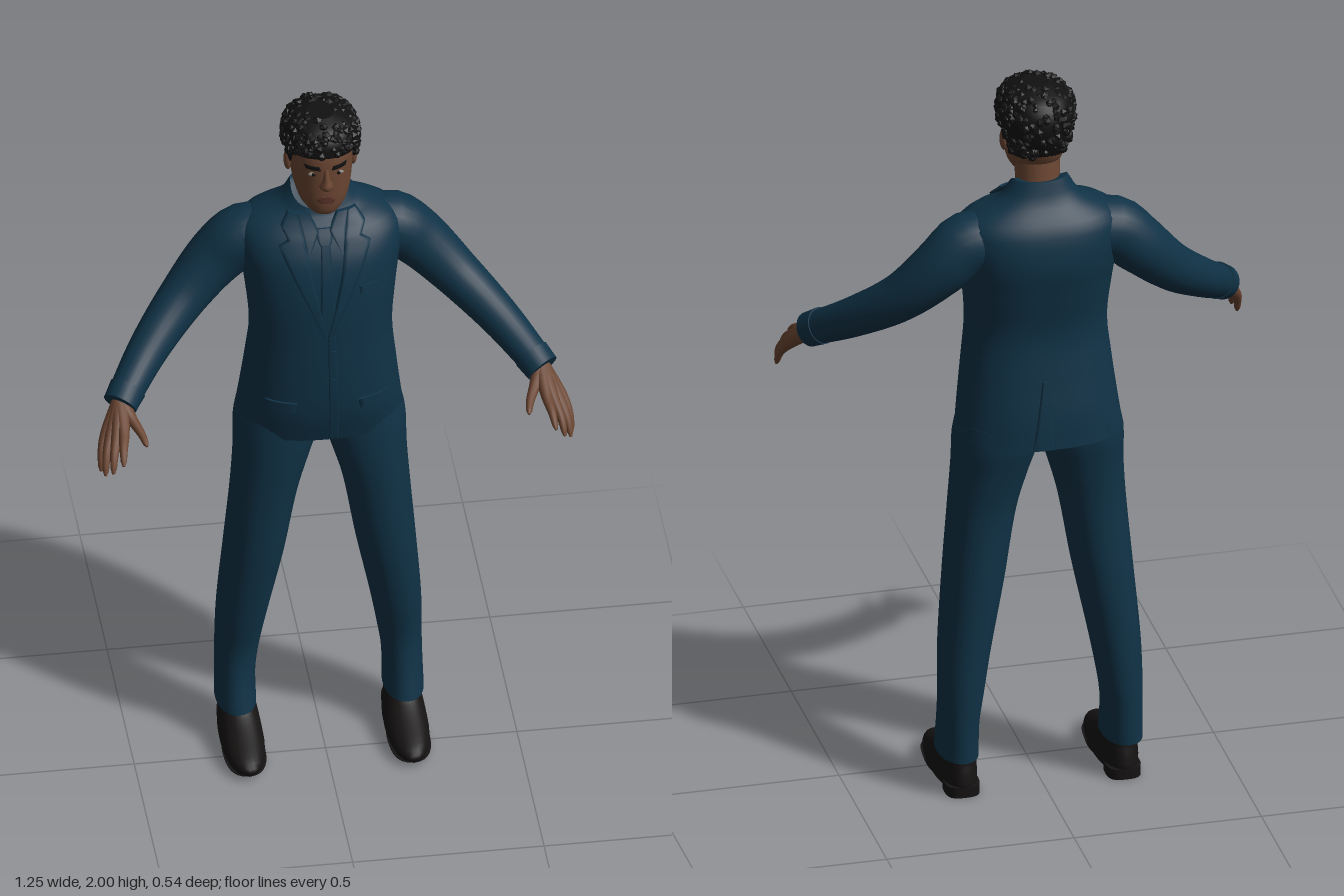
import * as THREE from 'three';
import { mergeGeometries } from 'three/addons/utils/BufferGeometryUtils.js';

const mat = (name, color, side = THREE.FrontSide) => {
  const m = new THREE.MeshStandardMaterial({ color, side });
  m.name = name;
  return m;
};

// smooth lookup in a table whose rows start with their height
function at(table, y) {
  const n = table.length;
  let i = 0;
  while (i < n - 2 && y > table[i + 1][0]) i++;
  const a = table[i], b = table[i + 1], h = b[0] - a[0];
  const t = THREE.MathUtils.clamp((y - a[0]) / h, 0, 1);
  const slope = (k, c) => {
    const p = table[Math.max(k - 1, 0)], q = table[Math.min(k + 1, n - 1)];
    return (q[c] - p[c]) / (q[0] - p[0]);
  };
  return a.map((v, c) => c === 0 ? y :
    v * (2 * t ** 3 - 3 * t * t + 1) + b[c] * (3 * t * t - 2 * t ** 3) +
    h * (slope(i, c) * (t ** 3 - 2 * t * t + t) + slope(i + 1, c) * (t ** 3 - t * t)));
}

// closed skin over a stack of point loops, with flat ends
function skin(rings) {
  const n = rings[0].length, pos = [], idx = [];
  rings.forEach(r => r.forEach(p => pos.push(...p)));
  for (let i = 0; i < rings.length - 1; i++) for (let j = 0; j < n; j++) {
    const a = i * n + j, b = i * n + (j + 1) % n;
    idx.push(a, a + n, b, b, a + n, b + n);
  }
  [rings[0], rings[rings.length - 1]].forEach((r, end) => {
    const base = pos.length / 3;
    r.forEach(p => pos.push(...p));
    pos.push(...[0, 1, 2].map(k => r.reduce((s, p) => s + p[k], 0) / n));
    for (let j = 0; j < n; j++) {
      const a = base + j, b = base + (j + 1) % n;
      end ? idx.push(base + n, b, a) : idx.push(base + n, a, b);
    }
  });
  const g = new THREE.BufferGeometry();
  g.setAttribute('position', new THREE.Float32BufferAttribute(pos, 3));
  g.setIndex(idx);
  g.computeVertexNormals();
  return g;
}

// point on a section [y, xCentre, halfWidth, zFront, zBack]
const spread = (v, p) => Math.sign(v) * Math.abs(v) ** (2 / p);
const onSection = ([y, xc, hw, zf, zb], a, p) =>
  [xc + hw * spread(Math.cos(a), p), y, (zf + zb) / 2 + (zf - zb) / 2 * spread(Math.sin(a), p)];

function loft(table, rows, cols, p = 2, tweak = v => v) {
  const y0 = table[0][0], y1 = table[table.length - 1][0];
  return skin(Array.from({ length: rows + 1 }, (_, i) => {
    const s = at(table, y0 + (y1 - y0) * i / rows);
    return Array.from({ length: cols }, (_, j) => tweak(onSection(s, j / cols * Math.PI * 2, p)));
  }));
}

// tapered tube through points [x, y, z, radius]
function limb(pts, rows, cols, round = false) {
  const curve = new THREE.CatmullRomCurve3(pts.map(p => new THREE.Vector3(p[0], p[1], p[2])));
  const f = curve.computeFrenetFrames(rows, false);
  return skin(Array.from({ length: rows + 1 }, (_, i) => {
    const t = curve.getUtoTmapping(i / rows) * (pts.length - 1);
    const k = Math.min(Math.floor(t), pts.length - 2), c = curve.getPointAt(i / rows);
    const r = THREE.MathUtils.lerp(pts[k][3], pts[k + 1][3], t - k) * (round && i === rows ? 0.5 : 1);
    return Array.from({ length: cols }, (_, j) => {
      const a = j / cols * Math.PI * 2;
      return c.clone().addScaledVector(f.normals[i], r * Math.cos(a))
        .addScaledVector(f.binormals[i], -r * Math.sin(a)).toArray();
    });
  }));
}

// thin plate lying on a lofted body; rows are [y, xFrom, xTo], side 1 front, -1 back
function panel(table, p, rows, lift, side = 1) {
  const surf = (x, y) => {
    const [, xc, hw, zf, zb] = at(table, y);
    const u = Math.min(Math.abs((x - xc) / hw), 0.98);
    return (zf + zb) / 2 + side * (zf - zb) / 2 * (1 - u ** p) ** (1 / p);
  };
  const rings = [];
  rows.forEach((r, k) => {
    const q = rows[k + 1], steps = q ? 4 : 1;
    for (let s = 0; s < steps; s++) {
      const [y, a, b] = q ? r.map((v, c) => v + (q[c] - v) * s / steps) : r;
      const line = d => Array.from({ length: 7 }, (_, j) => {
        const x = b + (a - b) * j / 6;
        return [x, y, surf(x, y) + side * d];
      });
      const top = line(lift), under = line(-0.004);
      rings.push(side > 0 ? [...top, ...under.reverse()] : [...top.reverse(), ...under]);
    }
  });
  return skin(rings);
}

function mirrored(g) {
  const m = g.clone().scale(-1, 1, 1), id = m.index.array;
  for (let i = 0; i < id.length; i += 3) [id[i], id[i + 1]] = [id[i + 1], id[i]];
  m.computeVertexNormals();
  return m;
}

export function createModel() {
  const suit = mat('navy suit', 0x103246), skinTone = mat('brown skin', 0x6b4632);
  const hairMat = mat('black hair', 0x121111, THREE.DoubleSide), leather = mat('black leather', 0x161313);
  const lipMat = mat('lips', 0x5a342a), white = mat('eye white', 0x8c8079);
  const model = new THREE.Group();
  const add = (name, g, m) => {
    const mesh = new THREE.Mesh(g, m);
    mesh.name = name;
    model.add(mesh);
  };
  const pair = (name, g, m) => {
    add(name + 'Left', g, m);
    add(name + 'Right', mirrored(g), m);
  };
  const ball = (x, y, z, sx, sy, sz) => new THREE.SphereGeometry(1, 16, 12).scale(sx, sy, sz).translate(x, y, z);

  // jacket body, with the neckline dropping at the front
  const torso = [
    [1.01, 0, 0.22, 0.02, -0.27], [1.1, 0, 0.208, 0.042, -0.265], [1.2, 0, 0.196, 0.048, -0.25],
    [1.32, 0, 0.185, 0.048, -0.237], [1.44, 0, 0.195, 0.045, -0.255], [1.52, 0, 0.206, 0.035, -0.268],
    [1.58, 0, 0.215, 0.018, -0.265], [1.63, 0, 0.208, -0.012, -0.25], [1.66, 0, 0.17, -0.036, -0.228],
    [1.69, 0, 0.11, -0.053, -0.205], [1.745, 0, 0.074, -0.066, -0.185]];
  add('jacket', loft(torso, 44, 48, 2.4, ([x, y, z]) => {
    const front = THREE.MathUtils.clamp((z + 0.14) / 0.07, 0, 1);
    return [x, y - Math.max(0, y - 1.66) * 0.6 * front, z];
  }), suit);
  pair('lapel', panel(torso, 2.4, [[1.36, 0, 0.008], [1.45, 0.02, 0.045], [1.55, 0.04, 0.09], [1.62, 0.05, 0.12],
    [1.635, 0.052, 0.095], [1.66, 0.058, 0.11], [1.69, 0.066, 0.088]], 0.008), suit);
  pair('shirtCollar', panel(torso, 2.4, [[1.605, 0.04, 0.046], [1.65, 0.014, 0.058], [1.69, 0.036, 0.068]], 0.006), suit);
  add('tie', panel(torso, 2.4, [[1.37, -0.004, 0.004], [1.42, -0.02, 0.02], [1.62, -0.012, 0.012],
    [1.627, -0.018, 0.018], [1.655, -0.022, 0.022]], 0.005), suit);
  pair('pocketFlap', panel(torso, 2.4, [[1.12, 0.085, 0.16], [1.15, 0.08, 0.158]], 0.007), suit);
  add('breastPocket', panel(torso, 2.4, [[1.485, 0.085, 0.14], [1.505, 0.085, 0.142]], 0.005), suit);
  add('frontOverlap', panel(torso, 2.4, [[1.02, 0.005, 0.03], [1.36, 0, 0.02]], 0.003), suit);
  add('backVent', panel(torso, 2.4, [[1.012, -0.004, 0.05], [1.2, 0, 0.02]], 0.005, -1), suit);
  [1.31, 1.22].forEach((y, i) =>
    add('button' + (i + 1), new THREE.CylinderGeometry(0.008, 0.008, 0.008, 12).rotateX(Math.PI / 2)
      .translate(0.012, y, 0.052), suit));

  // sleeves and cuffs
  pair('sleeve', limb([[0.13, 1.575, -0.142, 0.08], [0.195, 1.572, -0.144, 0.083], [0.262, 1.515, -0.144, 0.077],
    [0.355, 1.422, -0.105, 0.064], [0.46, 1.33, -0.012, 0.053], [0.55, 1.248, 0.103, 0.043]], 30, 24), suit);
  pair('cuff', limb([[0.527, 1.27, 0.073, 0.049], [0.552, 1.246, 0.106, 0.046]], 2, 24), suit);

  // hands: each finger runs from the wrist so the roots merge into a palm
  const wrist = [0.55, 1.248, 0.1];
  const fingers = {
    indexFinger: [[0.553, 1.208, 0.185], [0.56, 1.192, 0.23], [0.565, 1.165, 0.268]],
    middleFinger: [[0.572, 1.198, 0.186], [0.584, 1.17, 0.226], [0.59, 1.133, 0.256]],
    ringFinger: [[0.588, 1.188, 0.174], [0.602, 1.155, 0.21], [0.608, 1.115, 0.236]],
    littleFinger: [[0.599, 1.182, 0.158], [0.611, 1.148, 0.185], [0.615, 1.108, 0.205]],
    thumb: [[0.525, 1.222, 0.15], [0.508, 1.207, 0.19], [0.499, 1.195, 0.23]]
  };
  for (const [name, [a, b, c]] of Object.entries(fingers))
    pair(name, limb([[...wrist, 0.024], [...a, 0.0145], [...b, 0.011], [...c, 0.007]], 14, 12, true), skinTone);

  // trousers
  pair('trouserLeg', loft([
    [0.105, 0.219, 0.053, -0.028, -0.222], [0.2, 0.218, 0.052, -0.05, -0.225], [0.28, 0.212, 0.057, -0.056, -0.227],
    [0.4, 0.2, 0.066, -0.035, -0.225], [0.6, 0.172, 0.078, -0.008, -0.221], [0.8, 0.146, 0.087, 0.003, -0.216],
    [0.92, 0.125, 0.1, 0.008, -0.23], [1, 0.112, 0.112, 0.008, -0.245], [1.06, 0.106, 0.106, 0.005, -0.245]], 36, 32, 2.2), suit);

  // shoes
  pair('shoeUpper', loft([
    [0.016, 0.215, 0.054, 0.118, -0.205], [0.035, 0.215, 0.057, 0.126, -0.21], [0.052, 0.215, 0.055, 0.108, -0.208],
    [0.07, 0.215, 0.052, 0.06, -0.205], [0.09, 0.215, 0.048, 0.005, -0.2], [0.11, 0.216, 0.045, -0.035, -0.2],
    [0.15, 0.217, 0.042, -0.06, -0.2]], 16, 32, 2.2), leather);
  pair('sole', loft([[0, 0.215, 0.05, 0.095, -0.08], [0.02, 0.215, 0.056, 0.122, -0.1]], 2, 28, 2.3), leather);
  pair('heel', loft([[0, 0.215, 0.045, -0.11, -0.208], [0.03, 0.215, 0.046, -0.105, -0.21]], 2, 24, 3), leather);

  // neck, head and face
  add('neck', limb([[0, 1.65, -0.135, 0.064], [0, 1.72, -0.12, 0.058], [0, 1.82, -0.105, 0.06]], 10, 24), skinTone);
  const head = [
    [1.717, 0, 0.026, -0.008, -0.07], [1.73, 0, 0.043, 0.008, -0.1], [1.76, 0, 0.064, 0.016, -0.14],
    [1.79, 0, 0.074, 0.018, -0.17], [1.83, 0, 0.08, 0.018, -0.19], [1.87, 0, 0.083, 0.018, -0.203],
    [1.91, 0, 0.085, 0.014, -0.208], [1.95, 0, 0.075, 0, -0.195], [1.98, 0, 0.045, -0.04, -0.16]];
  add('head', loft(head, 30, 36, 2.1), skinTone);
  add('nose', loft([[1.812, 0, 0.013, 0.024, -0.02], [1.824, 0, 0.02, 0.036, -0.02], [1.845, 0, 0.012, 0.031, -0.02],
    [1.878, 0, 0.009, 0.02, -0.02]], 10, 20), skinTone);
  add('lips', panel(head, 2.1, [[1.772, -0.012, 0.012], [1.782, -0.026, 0.026], [1.793, -0.012, 0.012]], 0.005), lipMat);
  pair('ear', ball(0.085, 1.838, -0.098, 0.011, 0.03, 0.019), skinTone);
  pair('eye', ball(0.033, 1.862, 0.008, 0.014, 0.006, 0.005), white);
  pair('pupil', ball(0.033, 1.862, 0.0112, 0.0055, 0.0055, 0.003), hairMat);
  pair('eyebrow', panel(head, 2.1, [[1.877, 0.014, 0.052], [1.887, 0.018, 0.056]], 0.004), hairMat);

  // hair: a cap with a shaped hairline, covered in small curls
  const hairTable = [
    [1.79, 0, 0.07, 0, -0.168], [1.83, 0, 0.084, 0.01, -0.192], [1.87, 0, 0.09, 0.018, -0.212],
    [1.91, 0, 0.097, 0.02, -0.219], [1.95, 0, 0.093, 0.014, -0.208], [1.978, 0, 0.072, -0.012, -0.18],
    [1.993, 0, 0.035, -0.05, -0.13]];
  const hairline = [[-1, 1.8], [-0.4, 1.805], [0, 1.87], [0.25, 1.855], [0.5, 1.9], [1, 1.915]];
  const hairPoint = (a, t) => {
    const low = at(hairline, Math.sin(a))[1];
    return onSection(at(hairTable, low + (1.993 - low) * t), a, 2.1);
  };
  const hairRings = Array.from({ length: 17 }, (_, i) => Array.from({ length: 48 }, (_, j) => {
    const [x, y, z] = hairPoint(j / 48 * Math.PI * 2, Math.max(0, (i - 1) / 15));
    return i ? [x, y, z] : [x * 0.85, y, -0.1 + (z + 0.1) * 0.85];
  }));
  add('hairCap', skin(hairRings), hairMat);
  let seed = 7;
  const rand = () => (seed = (seed * 16807) % 2147483647) / 2147483647;
  const curls = Array.from({ length: 260 }, () => {
    const p = hairPoint(rand() * Math.PI * 2, 0.12 + 0.88 * rand());
    return new THREE.IcosahedronGeometry(0.008 + 0.006 * rand(), 0).rotateX(rand() * 3).rotateY(rand() * 3)
      .translate(p[0] * 0.98, p[1] - 0.004, p[2]);
  });
  add('hairCurls', mergeGeometries(curls), hairMat);
  return model;
}
